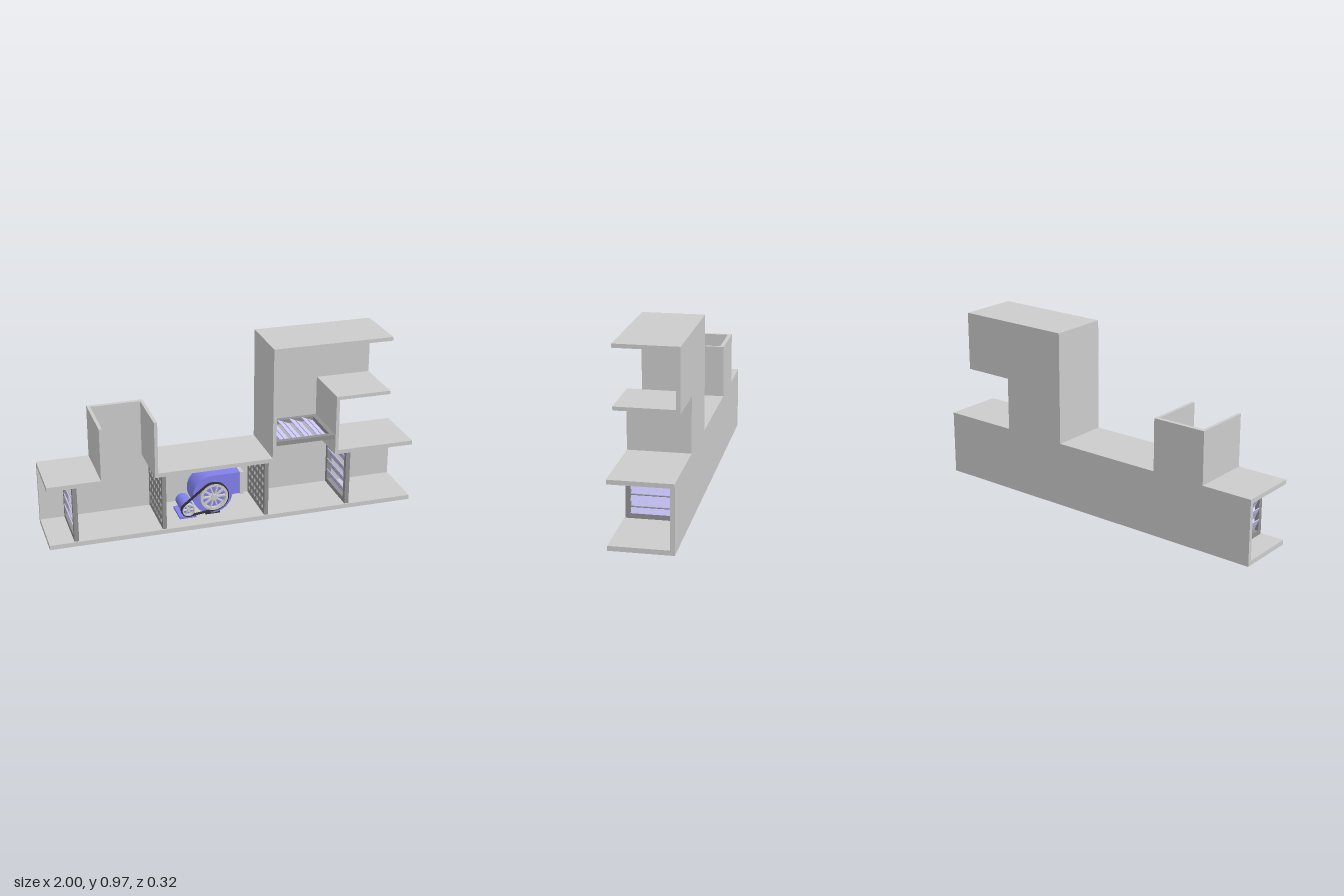
import * as THREE from 'three';

const mat = (color) => new THREE.MeshStandardMaterial({ color });
const GREY = mat(0xcccccc), FRAME = mat(0x909090), BLADE = mat(0xccc8ff);
const BLUE = mat(0x8080ee), DARK = mat(0x303030);

function add(parent, name, geometry, material) {
  const mesh = new THREE.Mesh(geometry, material);
  mesh.name = name;
  parent.add(mesh);
  return mesh;
}

function box(parent, name, material, x0, x1, y0, y1, z0, z1) {
  const mesh = add(parent, name, new THREE.BoxGeometry(x1 - x0, y1 - y0, z1 - z0), material);
  mesh.position.set((x0 + x1) / 2, (y0 + y1) / 2, (z0 + z1) / 2);
  return mesh;
}

function extrude(shape, z0, z1, curveSegments = 24) {
  return new THREE.ExtrudeGeometry(shape, { depth: z1 - z0, bevelEnabled: false, curveSegments }).translate(0, 0, z0);
}

function group(parent, name) {
  const g = new THREE.Group();
  g.name = name;
  parent.add(g);
  return g;
}

const circle = (x, y, r) => new THREE.Path().absarc(x, y, r, 0, Math.PI * 2, true);

function rectPath(w, h) {
  return [[-w, -h], [w, -h], [w, h], [-w, h]].map(([x, y]) => new THREE.Vector2(x / 2, y / 2));
}

// Louvred damper lying in its local xy plane, blades running along x
function damper(parent, name, w, h) {
  const g = group(parent, name);
  const rim = 0.026, count = 4, t = 0.024;
  const shape = new THREE.Shape(rectPath(w, h));
  shape.holes.push(new THREE.Path(rectPath(w - 2 * rim, h - 2 * rim)));
  add(g, 'damperFrame', extrude(shape, -t / 2, t / 2), FRAME);
  const pitch = (h - 2 * rim) / count;
  for (let i = 0; i < count; i++) {
    const y = (i - (count - 1) / 2) * pitch;
    const blade = add(g, 'damperBlade', new THREE.BoxGeometry(w - 2 * rim, pitch * 1.08, 0.004), BLADE);
    blade.position.y = y;
    blade.rotation.x = -0.4;
    const rod = add(g, 'damperRod', new THREE.CylinderGeometry(0.004, 0.004, w - 2 * rim, 10), FRAME);
    rod.rotation.z = Math.PI / 2;
    rod.position.y = y;
  }
  return g;
}

// Perforated filter plate across the duct
function filter(parent, x) {
  const w = 0.295, h = 0.305, cols = 6, rows = 6, step = 0.045;
  const shape = new THREE.Shape(rectPath(w, h));
  for (let i = 0; i < cols; i++)
    for (let j = 0; j < rows; j++)
      shape.holes.push(circle((i - (cols - 1) / 2) * step, (j - (rows - 1) / 2) * step, 0.015));
  const mesh = add(parent, 'filterPlate', extrude(shape, -0.011, 0.011, 8), FRAME);
  mesh.rotation.y = Math.PI / 2;
  mesh.position.set(x, 0.1775, 0.0075);
}

// Spoked belt wheel
function pulley(parent, name, x, y, r, spokes, z0, z1) {
  const g = group(parent, name);
  g.position.set(x, y, 0);
  const rim = new THREE.Shape().absarc(0, 0, r, 0, Math.PI * 2);
  rim.holes.push(circle(0, 0, r * 0.82));
  add(g, 'rim', extrude(rim, z0, z1), GREY);
  const hub = add(g, 'hub', new THREE.CylinderGeometry(r * 0.22, r * 0.22, z1 - z0 + 0.008, 20), GREY);
  hub.rotation.x = Math.PI / 2;
  hub.position.z = (z0 + z1) / 2;
  for (let i = 0; i < spokes; i++) {
    const a = (i / spokes) * Math.PI * 2;
    const spoke = add(g, 'spoke', new THREE.BoxGeometry(r * 0.68, r * 0.1, (z1 - z0) * 0.7), GREY);
    spoke.position.set(Math.cos(a) * r * 0.52, Math.sin(a) * r * 0.52, (z0 + z1) / 2);
    spoke.rotation.z = a;
  }
}

// Outline wrapping two circles
function wrap(path, a, b, grow) {
  const dx = b.x - a.x, dy = b.y - a.y;
  const dir = Math.atan2(dy, dx), phi = Math.acos((a.r - b.r) / Math.hypot(dx, dy));
  path.absarc(a.x, a.y, a.r + grow, dir + phi, dir + 2 * Math.PI - phi);
  path.absarc(b.x, b.y, b.r + grow, dir - phi, dir + phi);
  path.closePath();
  return path;
}

function buildFan(parent) {
  const fan = group(parent, 'fan');
  const wheel = { x: -0.1, y: 0.138, r: 0.076 }, drive = { x: -0.242, y: 0.08, r: 0.034 };

  // Scroll housing with its outlet towards +x
  const scroll = new THREE.Shape();
  scroll.moveTo(0.05, 0.25);
  scroll.lineTo(-0.1, 0.25);
  scroll.absarc(-0.1, 0.14, 0.11, Math.PI / 2, Math.PI * 2 - 0.13);
  scroll.lineTo(0.05, 0.126);
  scroll.closePath();
  add(fan, 'scrollHousing', extrude(scroll, -0.065, 0.06), BLUE);
  const flange = new THREE.Shape(rectPath(0.14, 0.13));
  flange.holes.push(new THREE.Path(rectPath(0.11, 0.1)));
  const outlet = add(fan, 'outletFlange', extrude(flange, 0, 0.02), GREY);
  outlet.rotation.y = Math.PI / 2;
  outlet.position.set(0.05, 0.188, -0.0025);
  box(fan, 'fanFoot', DARK, -0.14, -0.06, 0.025, 0.036, -0.06, 0.06);

  // Motor on its plinth
  const motor = add(fan, 'motor', new THREE.CylinderGeometry(0.036, 0.036, 0.11, 32), BLUE);
  motor.rotation.x = Math.PI / 2;
  motor.position.set(drive.x, drive.y, 0.005);
  box(fan, 'motorBase', BLUE, -0.287, -0.197, 0.025, 0.038, -0.06, 0.075);
  box(fan, 'motorSupport', BLUE, -0.262, -0.222, 0.036, 0.06, -0.045, 0.055);

  // Belt drive
  for (const c of [wheel, drive]) {
    const shaft = add(fan, 'shaft', new THREE.CylinderGeometry(0.007, 0.007, 0.05, 16), GREY);
    shaft.rotation.x = Math.PI / 2;
    shaft.position.set(c.x, c.y, 0.07);
  }
  pulley(fan, 'fanPulley', wheel.x, wheel.y, wheel.r, 10, 0.07, 0.092);
  pulley(fan, 'motorPulley', drive.x, drive.y, drive.r, 6, 0.07, 0.092);
  const belt = wrap(new THREE.Shape(), wheel, drive, 0.006);
  belt.holes.push(wrap(new THREE.Path(), wheel, drive, 0));
  add(fan, 'belt', extrude(belt, 0.073, 0.089, 40), DARK);
}

export function createModel() {
  const model = new THREE.Group();
  model.name = 'airHandlingUnit';

  // Back panel following the whole duct outline
  const outline = [[-1, 0], [1, 0], [1, 0.355], [0.57, 0.355], [0.57, 0.645], [0.855, 0.645], [0.855, 0.966],
    [0.2, 0.966], [0.2, 0.355], [-0.42, 0.355], [-0.42, 0.64], [-0.72, 0.64], [-0.72, 0.355], [-1, 0.355]];
  const back = new THREE.Shape(outline.map(([x, y]) => new THREE.Vector2(x, y)));
  add(model, 'backPanel', extrude(back, -0.162, -0.14), GREY);

  // Duct walls, open at the front: x0, x1, y0, y1
  const walls = {
    floor: [-1, 1, 0, 0.025],
    roofLeft: [-1, -0.703, 0.332, 0.355],
    roofMiddle: [-0.437, 0.22, 0.332, 0.355],
    roofRight: [0.552, 1, 0.332, 0.355],
    chimneyWallA: [-0.72, -0.703, 0.355, 0.64],
    chimneyWallB: [-0.437, -0.42, 0.355, 0.64],
    riserOuterWall: [0.2, 0.22, 0.355, 0.946],
    riserInnerWall: [0.552, 0.57, 0.355, 0.645],
    elbowTop: [0.2, 0.855, 0.946, 0.966],
    elbowShelf: [0.552, 0.855, 0.645, 0.664],
  };
  for (const [name, [x0, x1, y0, y1]] of Object.entries(walls))
    box(model, name, GREY, x0, x1, y0, y1, -0.14, 0.162);

  // Dampers at both ends and in the riser
  for (const x of [-0.858, 0.632]) {
    const d = damper(model, 'endDamper', 0.295, 0.307);
    d.rotation.y = Math.PI / 2;
    d.position.set(x, 0.1785, 0.0075);
  }
  const riser = damper(model, 'riserDamper', 0.295, 0.332);
  riser.quaternion.setFromRotationMatrix(new THREE.Matrix4().makeBasis(
    new THREE.Vector3(0, 0, 1), new THREE.Vector3(1, 0, 0), new THREE.Vector3(0, 1, 0)));
  riser.position.set(0.386, 0.433, 0.0075);

  filter(model, -0.39);
  filter(model, 0.17);
  buildFan(model);
  return model;
}
